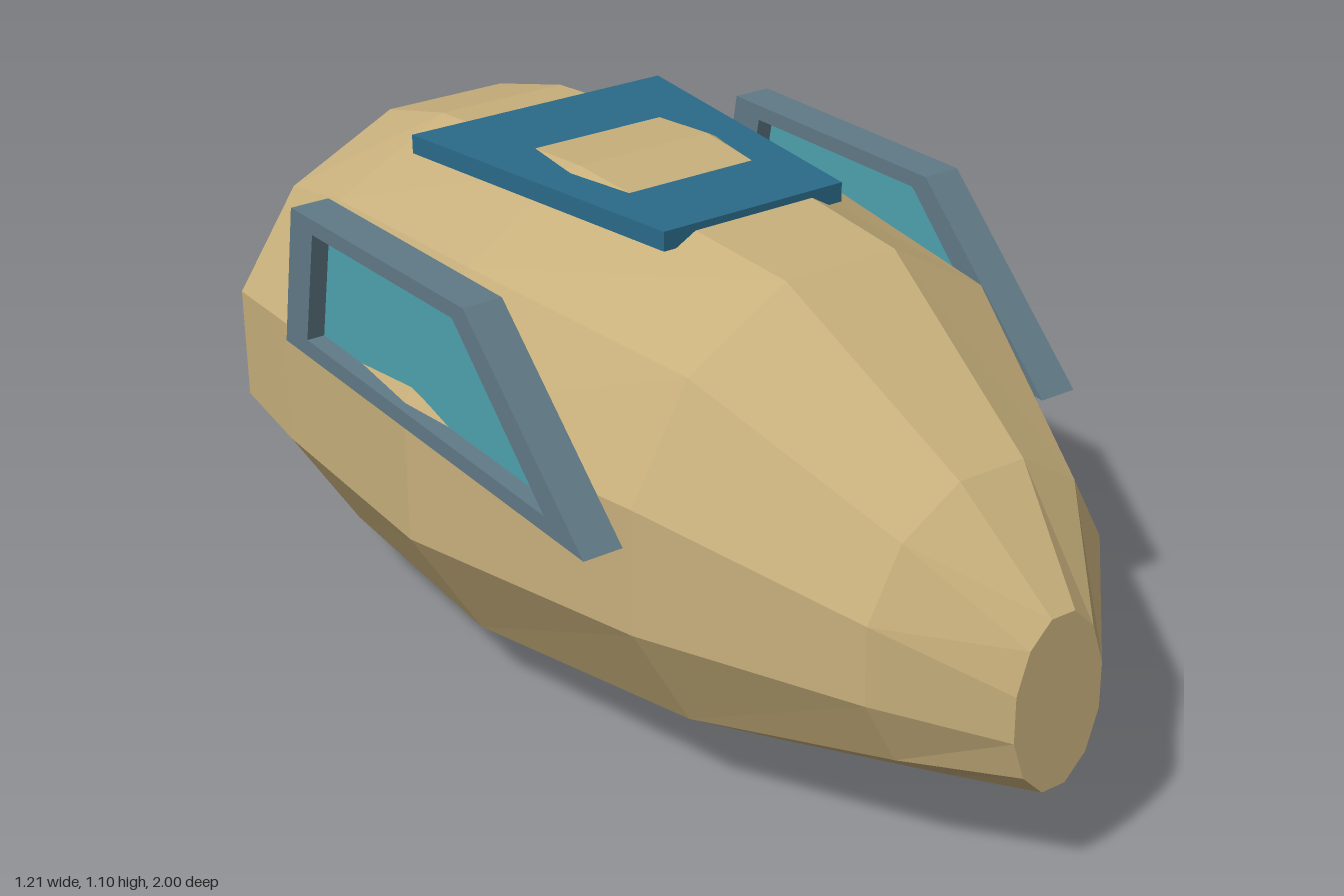
import * as THREE from 'three';

const hullTan = new THREE.MeshStandardMaterial({ color: 0xc8b07c, flatShading: true });
hullTan.name = 'hullTan';
const frameGrey = new THREE.MeshStandardMaterial({ color: 0x607a86, flatShading: true });
frameGrey.name = 'frameGrey';
const glassTeal = new THREE.MeshStandardMaterial({ color: 0x4fa3b0, flatShading: true });
glassTeal.name = 'glassTeal';
const hatchBlue = new THREE.MeshStandardMaterial({ color: 0x2a6a88, flatShading: true });
hatchBlue.name = 'hatchBlue';

// Hull stations from nose to tail: z, centre height, x radius, y radius
const STATIONS = [
  [1.0, 0.415, 0.108, 0.186],
  [0.8, 0.495, 0.293, 0.316],
  [0.37, 0.562, 0.501, 0.508],
  [-0.25, 0.55, 0.606, 0.568],
  [-0.77, 0.553, 0.58, 0.526],
  [-1.0, 0.552, 0.553, 0.467],
];
const SIDES = 12;

function hullGeometry() {
  const pos = [], index = [];
  for (const [z, cy, rx, ry] of STATIONS) {
    for (let j = 0; j < SIDES; j++) {
      const a = ((j + 0.5) / SIDES) * Math.PI * 2;
      pos.push(Math.cos(a) * rx, cy + Math.sin(a) * ry, z);
    }
  }
  const last = STATIONS.length - 1;
  for (let i = 0; i < last; i++) {
    for (let j = 0; j < SIDES; j++) {
      const k = (j + 1) % SIDES;
      const a = i * SIDES + j, b = i * SIDES + k;
      index.push(a, a + SIDES, b + SIDES, a, b + SIDES, b);
    }
  }
  // Flat nose and tail caps
  for (let j = 1; j < SIDES - 1; j++) {
    index.push(0, j, j + 1);
    index.push(last * SIDES, last * SIDES + j + 1, last * SIDES + j);
  }
  const g = new THREE.BufferGeometry();
  g.setAttribute('position', new THREE.Float32BufferAttribute(pos, 3));
  g.setIndex(index);
  const flat = g.toNonIndexed();
  flat.computeVertexNormals();
  return flat;
}

const points = (list) => list.map(([a, b]) => new THREE.Vector2(a, b));

// Extrudes an outline of (-z, y) points sideways, centred on x = 0
function sidePlate(outline, hole, depth) {
  const shape = new THREE.Shape(points(outline));
  if (hole) shape.holes.push(new THREE.Path(points(hole)));
  return new THREE.ExtrudeGeometry(shape, { depth, bevelEnabled: false })
    .translate(0, 0, -depth / 2)
    .rotateY(Math.PI / 2);
}

function part(name, geometry, material) {
  const mesh = new THREE.Mesh(geometry, material);
  mesh.name = name;
  return mesh;
}

export function createModel() {
  const model = new THREE.Group();
  model.name = 'cockpitPod';
  model.add(part('hull', hullGeometry(), hullTan));

  // Side windows: slanted frame with a thin pane in its middle
  const outer = [[-0.39, 0.635], [0.68, 0.69], [0.62, 1.0], [-0.015, 1.0]];
  const inner = [[-0.265, 0.675], [0.59, 0.722], [0.54, 0.967], [0.025, 0.967]];
  const frame = sidePlate(outer, inner, 0.086);
  const pane = sidePlate(inner, null, 0.008);
  for (const [side, s] of [['left', 1], ['right', -1]]) {
    const win = new THREE.Group();
    win.name = side + 'Window';
    win.add(part(side + 'WindowFrame', frame, frameGrey), part(side + 'WindowGlass', pane, glassTeal));
    win.position.x = 0.56 * s;
    model.add(win);
  }

  // Tapered roof plate that the top of the hull just breaks through
  const roof = new THREE.Shape(points([[-0.215, -0.11], [0.215, -0.11], [0.31, 0.63], [-0.31, 0.63]]));
  const hatch = new THREE.ExtrudeGeometry(roof, { depth: 0.04, bevelEnabled: false })
    .rotateX(-Math.PI / 2)
    .translate(0, 1.047, 0);
  model.add(part('roofHatch', hatch, hatchBlue));

  return model;
}
